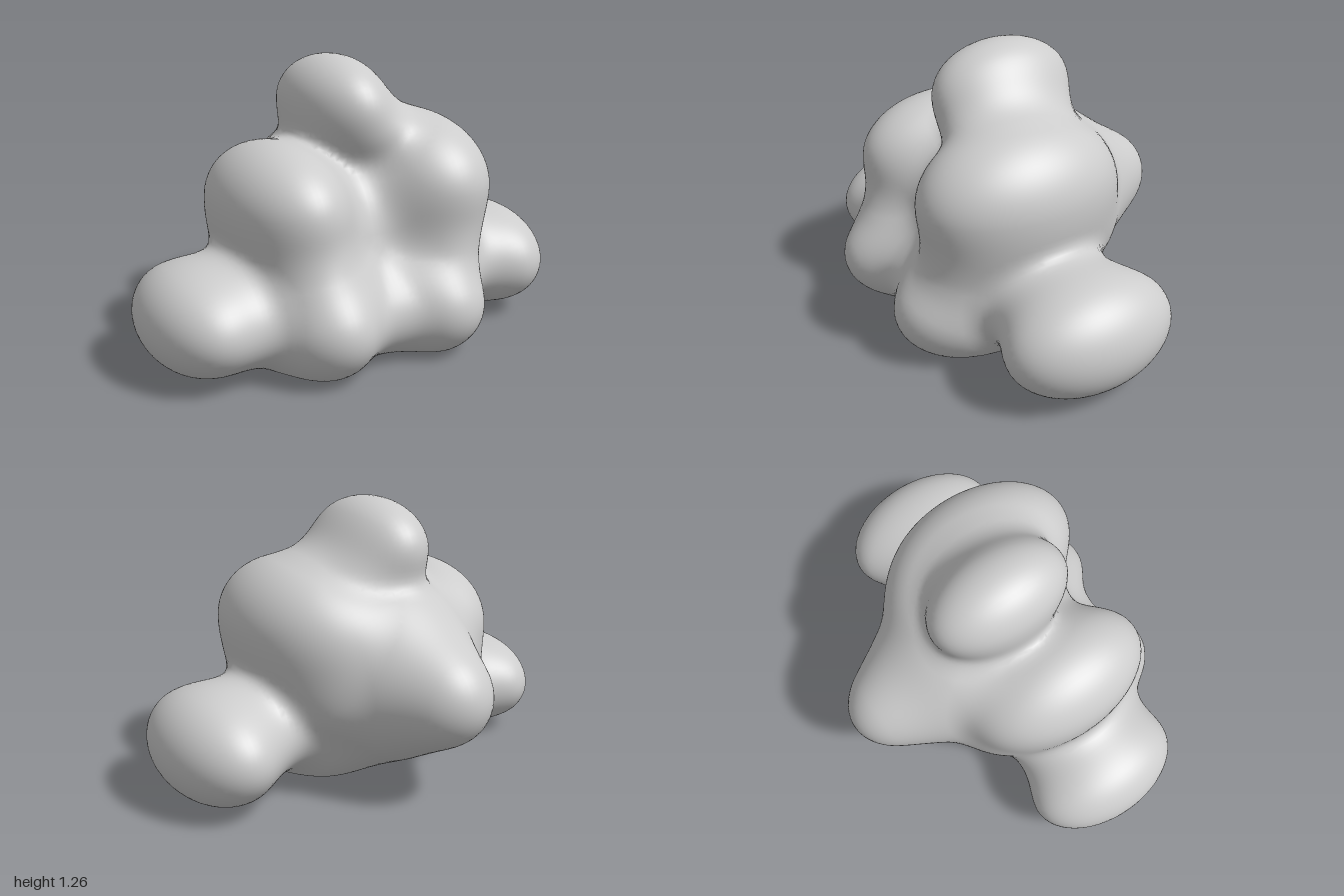
import * as THREE from 'three';

// Puffs of the cloud: centre x, y, z then radii x, y, z
const PUFFS = [
  [0, 0.51, -0.11, 0.41, 0.43, 0.4],         // rear body
  [0, 0.49, -0.36, 0.25, 0.26, 0.365],       // tail
  [-0.04, 0.45, 0.13, 0.39, 0.39, 0.33],     // core
  [-0.06, 0.22, 0.2, 0.25, 0.25, 0.4],       // lower middle
  [-0.35, 0.44, 0.13, 0.25, 0.26, 0.43],     // middle right
  [0.27, 0.47, 0.155, 0.27, 0.28, 0.44],     // middle left
  [-0.33, 0.22, 0.26, 0.27, 0.275, 0.445],   // lower right
  [0.21, 0.215, 0.27, 0.28, 0.28, 0.45],     // lower left
  [-0.38, 0.67, 0.135, 0.26, 0.265, 0.415],  // upper right
  [0.28, 0.71, 0.165, 0.31, 0.31, 0.46],     // upper left
  [0.07, 0.95, 0.09, 0.19, 0.13, 0.27],      // crown bridge
  [-0.035, 1.055, 0.04, 0.203, 0.21, 0.325], // crown
  [-0.57, 0.245, 0.16, 0.24, 0.2, 0.3],      // side joint right
  [0.54, 0.28, 0.15, 0.26, 0.2, 0.28],       // side joint left
  [-0.77, 0.245, 0.135, 0.23, 0.227, 0.363], // side right
  [0.755, 0.26, 0.135, 0.245, 0.248, 0.388], // side left
];
const BLEND = 0.13;

function smoothMin(a, b, k) {
  const h = Math.max(k - Math.abs(a - b), 0) / k;
  return Math.min(a, b) - h * h * k * 0.25;
}

// Signed distance to the blended puffs, cut flat at the ground
function field(x, y, z) {
  let d = 10;
  for (const [cx, cy, cz, rx, ry, rz] of PUFFS) {
    const px = (x - cx) / rx, py = (y - cy) / ry, pz = (z - cz) / rz;
    const k0 = Math.hypot(px, py, pz);
    const k1 = Math.hypot(px / rx, py / ry, pz / rz) || 1;
    const e = k0 < 1e-4 ? -Math.min(rx, ry, rz) : (k0 * (k0 - 1)) / k1;
    d = smoothMin(d, e, BLEND);
  }
  return -smoothMin(-d, y - 0.003, 0.03);
}

function gradient(x, y, z) {
  const e = 0.002;
  return new THREE.Vector3(
    field(x + e, y, z) - field(x - e, y, z),
    field(x, y + e, z) - field(x, y - e, z),
    field(x, y, z + e) - field(x, y, z - e)
  ).divideScalar(2 * e);
}

// Surface nets: one vertex in each crossed cell, one quad for each crossed edge
function cloudGeometry() {
  const s = 0.025, origin = [-1.1, -0.1, -0.85], n = [89, 60, 68];
  const step = [1, n[0], n[0] * n[1]];
  const at = (i, j, k) => i + j * step[1] + k * step[2];
  const values = new Float32Array(n[0] * n[1] * n[2]);
  const cell = new Int32Array(values.length).fill(-1);
  const each = (from, to, fn) => {
    for (let k = from; k < n[2] - to; k++)
      for (let j = from; j < n[1] - to; j++)
        for (let i = from; i < n[0] - to; i++) fn(i, j, k);
  };
  each(0, 0, (i, j, k) => {
    values[at(i, j, k)] = field(origin[0] + i * s, origin[1] + j * s, origin[2] + k * s);
  });

  const positions = [], normals = [], index = [];
  each(0, 1, (i, j, k) => {
    const c = at(i, j, k);
    const sum = new THREE.Vector3();
    let count = 0;
    for (let corner = 0; corner < 8; corner++) {
      const o = [corner & 1, (corner >> 1) & 1, corner >> 2];
      const start = c + at(...o);
      const a = values[start];
      for (let axis = 0; axis < 3; axis++) {
        if (o[axis]) continue;
        const b = values[start + step[axis]];
        if (a < 0 === b < 0) continue;
        const p = [...o];
        p[axis] = a / (a - b);
        sum.add(new THREE.Vector3(...p));
        count++;
      }
    }
    if (!count) return;
    const p = sum.divideScalar(count).add(new THREE.Vector3(i, j, k))
      .multiplyScalar(s).add(new THREE.Vector3(...origin));
    // Settle the vertex on the surface
    for (let t = 0; t < 2; t++) {
      const g = gradient(p.x, p.y, p.z);
      const move = -field(p.x, p.y, p.z) / Math.max(g.lengthSq(), 0.2);
      p.addScaledVector(g, THREE.MathUtils.clamp(move, -s / 2, s / 2));
    }
    cell[c] = positions.length / 3;
    positions.push(p.x, p.y, p.z);
    normals.push(...gradient(p.x, p.y, p.z).normalize().toArray());
  });

  each(1, 1, (i, j, k) => {
    const c = at(i, j, k);
    for (let axis = 0; axis < 3; axis++) {
      const inside = values[c] < 0;
      if (inside === values[c + step[axis]] < 0) continue;
      const u = step[(axis + 1) % 3], v = step[(axis + 2) % 3];
      const q = [cell[c - u - v], cell[c - v], cell[c], cell[c - u]];
      if (!inside) q.reverse();
      index.push(q[0], q[1], q[2], q[0], q[2], q[3]);
    }
  });

  const geometry = new THREE.BufferGeometry();
  geometry.setAttribute('position', new THREE.Float32BufferAttribute(positions, 3));
  geometry.setAttribute('normal', new THREE.Float32BufferAttribute(normals, 3));
  geometry.setIndex(index);
  return geometry;
}

export function createModel() {
  const group = new THREE.Group();
  group.name = 'cloud';
  const material = new THREE.MeshStandardMaterial({ color: 0xcccccc });
  material.name = 'light grey';
  const puffs = new THREE.Mesh(cloudGeometry(), material);
  puffs.name = 'cloudPuffs';
  group.add(puffs);
  return group;
}
